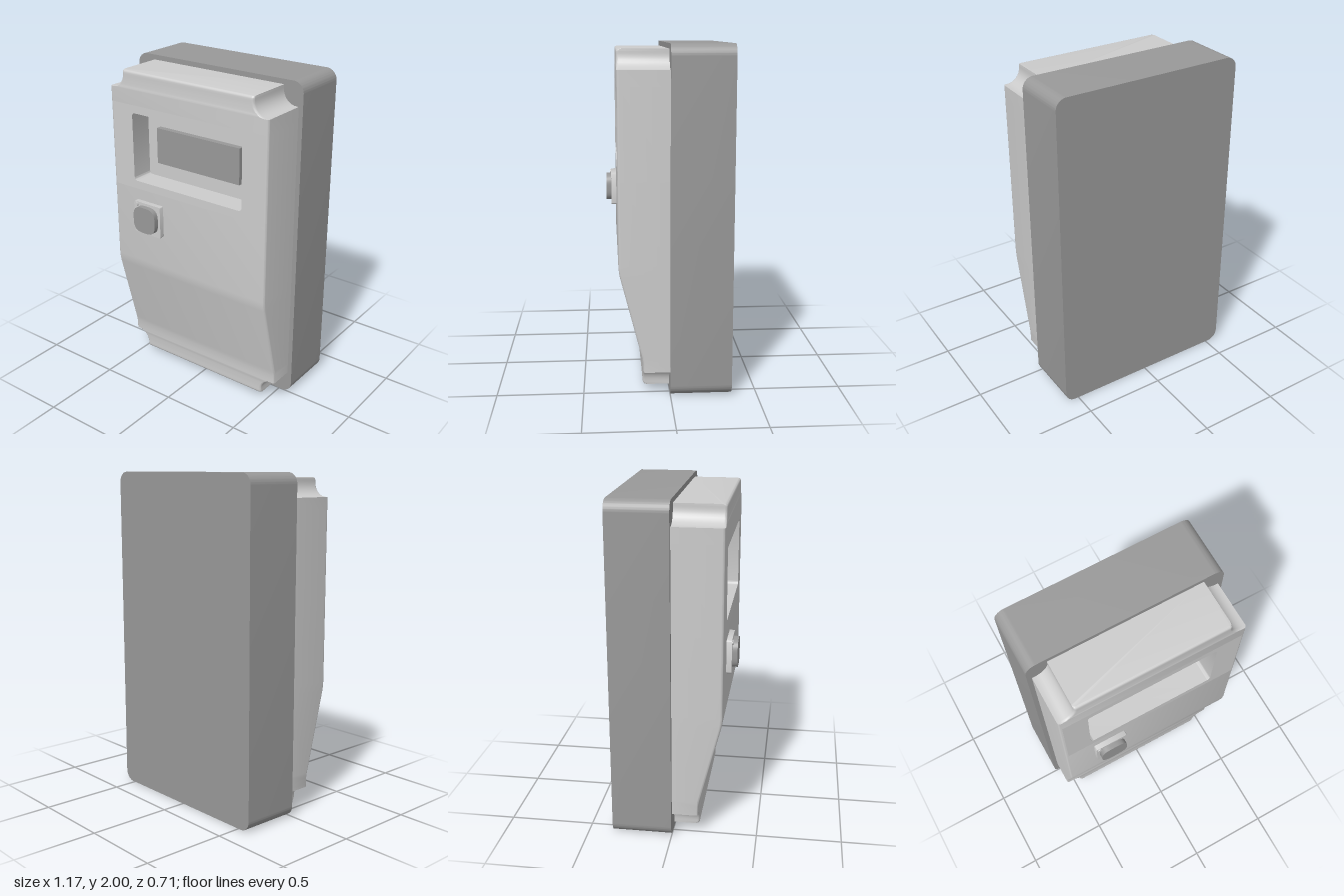
import * as THREE from 'three';
import { toCreasedNormals } from 'three/addons/utils/BufferGeometryUtils.js';

const darkGrey = new THREE.MeshStandardMaterial({ color: 0x999999 });
darkGrey.name = 'darkGrey';
const lightGrey = new THREE.MeshStandardMaterial({ color: 0xcccccc });
lightGrey.name = 'lightGrey';

const FRONT = 0.292; // z of the cover's upper face
const FOOT = 0.155; // z of the cover's lower face
const R = 0.015; // edge rounding of the cover

function add(group, name, geometry, material) {
  const mesh = new THREE.Mesh(geometry, material);
  mesh.name = name;
  group.add(mesh);
  return mesh;
}

// Rounded rectangle between two corners
function roundedRect(x0, y0, x1, y1, r, Type = THREE.Shape) {
  const s = new Type();
  s.absarc(x1 - r, y1 - r, r, 0, Math.PI / 2);
  s.absarc(x0 + r, y1 - r, r, Math.PI / 2, Math.PI);
  s.absarc(x0 + r, y0 + r, r, Math.PI, Math.PI * 1.5);
  s.absarc(x1 - r, y0 + r, r, Math.PI * 1.5, Math.PI * 2);
  s.closePath();
  return s;
}

// Extrude a shape from z0 to z1 with smooth rounded corners
function slab(shape, z0, z1) {
  const g = new THREE.ExtrudeGeometry(shape, { depth: z1 - z0, bevelEnabled: false, curveSegments: 8 });
  g.translate(0, 0, z0);
  return toCreasedNormals(g, 0.6);
}

// Rows of the cover from the bottom up: height, half width, front z
function coverRows() {
  const notch = [[1.86, 0.557]];
  for (let k = 0; k <= 8; k++) {
    const a = (k / 8) * Math.PI / 2;
    notch.push([1.945 - 0.085 * Math.cos(a), 0.545 - 0.085 * Math.sin(a)]);
  }
  for (let k = 0; k <= 4; k++) {
    const a = (k / 4) * Math.PI / 2;
    notch.push([1.97 - R + R * Math.sin(a), 0.46, R * (1 - Math.cos(a))]);
  }
  const bottom = notch.map(([y, w, cut = 0]) => [2 - y, w, FOOT - cut]).reverse();
  const folds = [[0.16, FOOT], [0.2, 0.157], [0.23, 0.1626], [0.71, 0.2844], [0.74, 0.2895],
    [0.77, FRONT], [1.25, FRONT], [1.77, FRONT]].map(([y, z]) => [y, 0.557, z]);
  const top = notch.map(([y, w, cut = 0]) => [y, w, FRONT - cut]);
  return [...bottom, ...folds, ...top];
}

// Cover shell: rounded cross-sections joined row by row, open behind the display frame
function coverGeometry() {
  const rows = coverRows();
  const sections = rows.map(([y, w, z]) => {
    const half = [[w, -0.005]];
    for (let k = 0; k <= 4; k++) {
      const a = (k / 4) * Math.PI / 2;
      half.push([w - R + R * Math.cos(a), z - R + R * Math.sin(a)]);
    }
    const other = half.map(([x, d]) => [-x, d]).reverse();
    return [...half, ...other].map(([x, d]) => [x, y, d]);
  });
  const pos = [];
  const tri = (...pts) => pts.forEach((p) => pos.push(...p));
  for (let i = 0; i < sections.length - 1; i++) {
    const lo = sections[i], hi = sections[i + 1];
    for (let j = 0; j < lo.length - 1; j++) {
      if (j === 5 && rows[i][0] === 1.25) continue;
      tri(lo[j], hi[j + 1], lo[j + 1]);
      tri(lo[j], hi[j], hi[j + 1]);
    }
  }
  const first = sections[0], last = sections[sections.length - 1];
  for (let j = 1; j < first.length - 1; j++) {
    tri(first[0], first[j], first[j + 1]);
    tri(last[0], last[j + 1], last[j]);
  }
  const g = new THREE.BufferGeometry();
  g.setAttribute('position', new THREE.Float32BufferAttribute(pos, 3));
  return toCreasedNormals(g, 0.6);
}

// Bulged square outline for the push button
function buttonShape(cx, cy, r) {
  const pts = [];
  for (let k = 0; k < 48; k++) {
    const a = (k / 48) * Math.PI * 2, c = Math.cos(a), s = Math.sin(a);
    const d = r / Math.pow(Math.abs(c) ** 3.2 + Math.abs(s) ** 3.2, 1 / 3.2);
    pts.push(new THREE.Vector2(cx + d * c, cy + d * s));
  }
  return new THREE.Shape(pts);
}

export function createModel() {
  const model = new THREE.Group();
  model.name = 'wallEnclosure';

  // Rear housing
  add(model, 'rearHousing', slab(roundedRect(-0.585, 0, 0.585, 2, 0.065), -0.354, 0), darkGrey);

  // Front cover with notched corners and sloping lower face
  const cover = new THREE.Group();
  cover.name = 'frontCover';
  model.add(cover);
  add(cover, 'coverShell', coverGeometry(), lightGrey);

  // Recessed display
  const w = 0.557 - R;
  const frame = new THREE.Shape([[-w, 1.25], [w, 1.25], [w, 1.77], [-w, 1.77]]
    .map(([x, y]) => new THREE.Vector2(x, y)));
  frame.holes.push(roundedRect(-0.395, 1.3, 0.392, 1.722, 0.02, THREE.Path));
  add(cover, 'displayFrame', slab(frame, 0.15, FRONT), lightGrey);
  add(cover, 'recessFloor', new THREE.BoxGeometry(0.84, 0.46, 0.02), lightGrey).position.set(0, 1.51, 0.14);
  add(cover, 'displayScreen', new THREE.BoxGeometry(0.6, 0.22, 0.035), darkGrey).position.set(0, 1.51, 0.1675);

  // Push button on its square base, with a small indicator
  const control = new THREE.Group();
  control.name = 'pushButton';
  model.add(control);
  add(control, 'buttonBase', slab(roundedRect(-0.38, 0.98, -0.178, 1.182, 0.01), 0.285, 0.323), lightGrey);
  add(control, 'buttonCap', slab(buttonShape(-0.278, 1.083, 0.083), 0.32, 0.354), darkGrey);
  const lamp = add(control, 'indicatorLamp', new THREE.CylinderGeometry(0.014, 0.014, 0.009, 20), lightGrey);
  lamp.rotation.x = Math.PI / 2;
  lamp.position.set(-0.36, 1.164, 0.326);

  return model;
}
